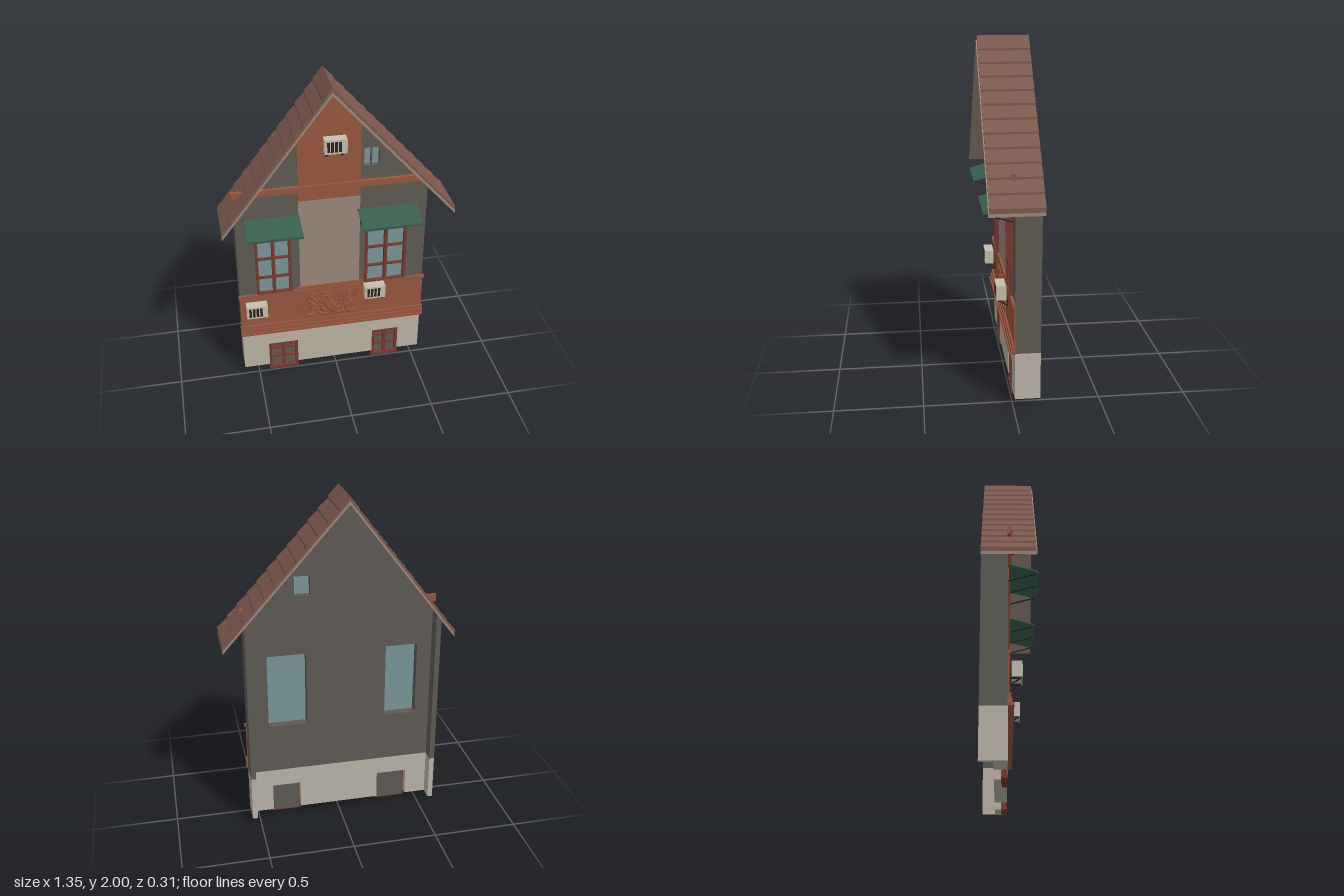
import * as THREE from 'three';

const mat = (name, color) => Object.assign(new THREE.MeshStandardMaterial({ color }), { name });

export function createModel() {
  const brick = mat('brick red', 0x98563f), plaster = mat('grey plaster', 0x5e5b54);
  const stone = mat('pale stone', 0xbab3a6), tile = mat('roof tile', 0x7b594f);
  const beige = mat('beige', 0x9a877c), glass = mat('glass', 0x7a9598);
  const wood = mat('window frame red', 0x743a30), green = mat('awning green', 0x38604e);
  const metal = mat('light casing', 0xc4beb1), black = mat('black iron', 0x262422);
  const model = new THREE.Group();
  model.name = 'house';

  const add = (name, geo, material, parent = model) => {
    const m = new THREE.Mesh(geo, material);
    m.name = name;
    parent.add(m);
    return m;
  };
  const group = (name) => {
    const g = new THREE.Group();
    g.name = name;
    model.add(g);
    return g;
  };
  // Box given by its min and max on every axis
  const box = (name, x0, x1, y0, y1, z0, z1, material, parent) => {
    const g = new THREE.BoxGeometry(x1 - x0, y1 - y0, z1 - z0);
    g.translate((x0 + x1) / 2, (y0 + y1) / 2, (z0 + z1) / 2);
    return add(name, g, material, parent);
  };
  // Outline in x,y pushed from z0 to z1
  const plate = (name, pts, z0, z1, material, holes = [], parent) => {
    const shape = new THREE.Shape(pts.map(p => new THREE.Vector2(...p)));
    for (const [a, b, c, d] of holes)
      shape.holes.push(new THREE.Path([[a, c], [a, d], [b, d], [b, c]].map(p => new THREE.Vector2(...p))));
    const g = new THREE.ExtrudeGeometry(shape, { depth: z1 - z0, bevelEnabled: false });
    return add(name, g.translate(0, 0, z0), material, parent);
  };
  // Thin rod between two points
  const rod = (name, a, b, r, material, parent) => {
    const path = new THREE.LineCurve3(new THREE.Vector3(...a), new THREE.Vector3(...b));
    return add(name, new THREE.TubeGeometry(path, 1, r, 6), material, parent);
  };

  // Roof line
  const ridge = [-0.045, 2], eaves = [[-0.674, 1.18], [0.674, 1.198]];
  const roofY = (x) => {
    const [ex, ey] = eaves[x < ridge[0] ? 0 : 1];
    return ridge[1] + (ey - ridge[1]) * (x - ridge[0]) / (ex - ridge[0]);
  };
  const under = (x) => roofY(x) - 0.048;

  // Front wall with window openings, and its side returns
  const XL = -0.59, XR = 0.55;
  const windows = [[-0.485, -0.27, 0.61, 1.09], [0.18, 0.435, 0.61, 1.09]];
  const attic = [0.165, 0.255, 1.435, 1.55];
  plate('wall', [[XL, 0.32], [XR, 0.32], [XR, under(XR)], [ridge[0], under(ridge[0])], [XL, under(XL)]],
    -0.08, -0.01, plaster,
    [...windows.map(([a, b, c, d]) => [a + 0.012, b - 0.012, c + 0.012, d - 0.012]), attic]);
  const cellars = [[-0.43, -0.245], [0.24, 0.41]];
  const basePts = [[XL, 0.04]];
  for (const [a, b] of cellars) basePts.push([a, 0.04], [a, 0.21], [b, 0.21], [b, 0.04]);
  plate('base', [...basePts, [XR, 0.04], [XR, 0.32], [XL, 0.32]], -0.08, -0.01, stone);
  for (const [a, b] of [[XL, XL + 0.03], [XR - 0.03, XR]]) {
    plate('wallReturn', [[a, 0.32], [b, 0.32], [b, under(b)], [a, under(a)]], -0.155, -0.08, plaster);
    box('baseReturn', a, b, 0.04, 0.32, -0.155, -0.08, stone);
  }

  // Roof: stepped tile courses on a plain lining
  for (const [ex] of eaves) {
    const roof = group('roofSlope'), at = t => ridge[0] + (ex - ridge[0]) * t;
    const top = [], n = 12;
    for (let i = 0; i < n; i++) {
      const a = at(i / n), b = at((i + 1) / n);
      top.push([a, roofY(a) - (i ? 0.012 : 0)], [b, roofY(b)]);
    }
    const strip = v => [[ex, roofY(ex) - v], [ridge[0], ridge[1] - v]];
    plate('tiles', [...top, ...strip(0.026)], -0.155, 0.14, tile, [], roof);
    plate('lining', [...strip(0.026).reverse(), ...strip(0.045)], -0.155, 0.146, beige, [], roof);
  }

  // Central bay: brick gable strip and beige panel
  const CL = -0.22, CR = 0.145;
  plate('gablePanel', [[CL, 1.25], [CR, 1.25], [CR, under(CR)], [ridge[0], under(ridge[0])], [CL, under(CL)]],
    -0.01, 0, brick);
  box('beigePanel', CL, CR, 0.635, 1.25, -0.01, -0.003, beige);

  // Brick apron and mouldings
  box('apron', -0.593, 0.553, 0.32, 0.61, -0.01, -0.003, brick);
  box('apronCentre', -0.235, 0.165, 0.385, 0.635, -0.01, 0.002, brick);
  box('apronLedge', -0.6, 0.56, 0.6, 0.62, -0.01, 0.006, brick);
  box('centreLedge', CL, CR, 0.625, 0.642, -0.01, 0.008, brick);
  [[0.32, 0.335, 0.022], [0.335, 0.36, 0.014], [0.36, 0.385, 0.008]].forEach(([a, b, z]) =>
    box('lowerMoulding', -0.6, 0.56, a, b, -0.012, z, brick));
  box('upperMoulding', -0.6, 0.56, 1.308, 1.328, -0.012, 0.006, brick);
  box('upperMoulding', -0.6, 0.56, 1.328, 1.35, -0.012, 0.012, brick);

  // Window with a surround, centre post and cross bars
  const makeWindow = (name, [a, b, c, d], bars, pane, z, w) => {
    const g = group(name), m = (a + b) / 2;
    box('pane', a + w / 2, b - w / 2, c + w / 2, d - w / 2, z - 0.032, z - 0.024, pane, g);
    for (const [p, q] of [[a, a + w], [b - w, b], [m - w * 0.6, m + w * 0.6]])
      box('upright', p, q, c, d, z - 0.025, z, wood, g);
    for (const [p, q] of [[c, c + w], [d - w, d]])
      box('rail', a, b, p, q, z - 0.025, z + 0.002, wood, g);
    for (const y of bars) box('bar', a, b, y - 0.005, y + 0.005, z - 0.025, z - 0.006, wood, g);
  };
  for (const w of windows) makeWindow('tallWindow', w, [0.735, 0.87, 0.995], glass, 0.002, 0.016);
  for (const [a, b] of cellars) makeWindow('cellarWindow', [a, b, 0.003, 0.21], [0.09, 0.16], plaster, -0.012, 0.016);
  for (const [a, b] of cellars) box('cellarSill', a - 0.003, b + 0.003, 0, 0.015, -0.037, -0.008, wood);

  // Attic window
  box('atticGlass', attic[0], attic[1], attic[2], attic[3], -0.045, -0.038, glass);
  box('atticPost', 0.206, 0.214, attic[2], attic[3], -0.038, -0.02, plaster);

  // Awnings on iron struts
  for (const [a, b] of [[-0.535, -0.215], [0.13, 0.485]]) {
    const g = group('awning');
    const canopy = new THREE.Shape([[0, 1.15], [-0.153, 1.107], [-0.153, 1.096], [-0.157, 1.096],
      [-0.157, 1.113], [0, 1.157]].map(p => new THREE.Vector2(...p)));
    const geo = new THREE.ExtrudeGeometry(canopy, { depth: b - a, bevelEnabled: false });
    add('canopy', geo.rotateY(Math.PI / 2).translate(a, 0, -0.003), green, g);
    for (const x of [a + 0.018, (a + b) / 2, b - 0.018]) {
      rod('strut', [x, 1.105, 0.15], [x, 1.06, -0.008], 0.004, black, g);
    }
  }

  // Air conditioners on brackets
  for (const [x, y] of [[-0.56, 0.49], [0.17, 0.535], [-0.075, 1.57]]) {
    const g = group('airConditioner');
    box('casing', x, x + 0.128, y, y + 0.086, 0.01, 0.066, metal, g);
    for (let i = 0; i < 4; i++)
      box('slot', x + 0.014 + i * 0.022, x + 0.029 + i * 0.022, y + 0.012, y + 0.074, 0.064, 0.0675, black, g);
    for (const bx of [x + 0.018, x + 0.108]) {
      box('bracketArm', bx - 0.004, bx + 0.004, y - 0.008, y, -0.01, 0.06, black, g);
      rod('bracketBrace', [bx, y - 0.004, 0.056], [bx, y - 0.04, 0], 0.004, black, g);
      box('bracketPlate', bx - 0.004, bx + 0.004, y - 0.045, y, -0.01, 0.004, black, g);
    }
  }

  // Scrollwork relief, mirrored about the bay centre
  const relief = group('scrollRelief');
  const leaf = (x, y, len, angle) => {
    const m = add('leaf', new THREE.SphereGeometry(1, 8, 6), brick, relief);
    m.scale.set(len / 2, len * 0.17, 0.009);
    m.rotation.z = angle;
    m.position.set(x + Math.cos(angle) * len / 2, y + Math.sin(angle) * len / 2, 0.004);
  };
  const cx = -0.03;
  for (const s of [1, -1]) {
    // centre x, centre y, radius, start angle, turn direction
    for (const [sx, sy, r, a0, dir] of [[0.115, 0.55, 0.042, -2.4, 1], [0.105, 0.455, 0.04, 2.6, -1],
      [0.045, 0.565, 0.027, -1.2, 1], [0.06, 0.505, 0.022, 0.5, -1]]) {
      const pts = [];
      for (let i = 0; i <= 14; i++) {
        const a = a0 + dir * i * 0.6, q = r * (1 - i / 17);
        pts.push(new THREE.Vector3(cx + s * (sx + q * Math.cos(a)), sy + q * Math.sin(a), 0.005));
      }
      add('scroll', new THREE.TubeGeometry(new THREE.CatmullRomCurve3(pts), 36, 0.006, 5), brick, relief);
    }
    const stem = [[0.005, 0.41], [0.05, 0.425], [0.08, 0.5], [0.14, 0.515], [0.16, 0.58]]
      .map(([x, y]) => new THREE.Vector3(cx + s * x, y, 0.005));
    add('stem', new THREE.TubeGeometry(new THREE.CatmullRomCurve3(stem), 24, 0.006, 5), brick, relief);
    for (const [x, y, len, a] of [[0, 0.42, 0.09, 1.15], [0.005, 0.415, 0.08, 0.7], [0.01, 0.41, 0.08, 0.2],
      [0.08, 0.5, 0.06, 0.9], [0.09, 0.5, 0.06, -0.1], [0.1, 0.41, 0.06, 0.2], [0.01, 0.53, 0.05, 0.9]])
      leaf(cx + s * x, y, len, s > 0 ? a : Math.PI - a);
  }
  leaf(cx, 0.41, 0.12, Math.PI / 2);
  return model;
}
